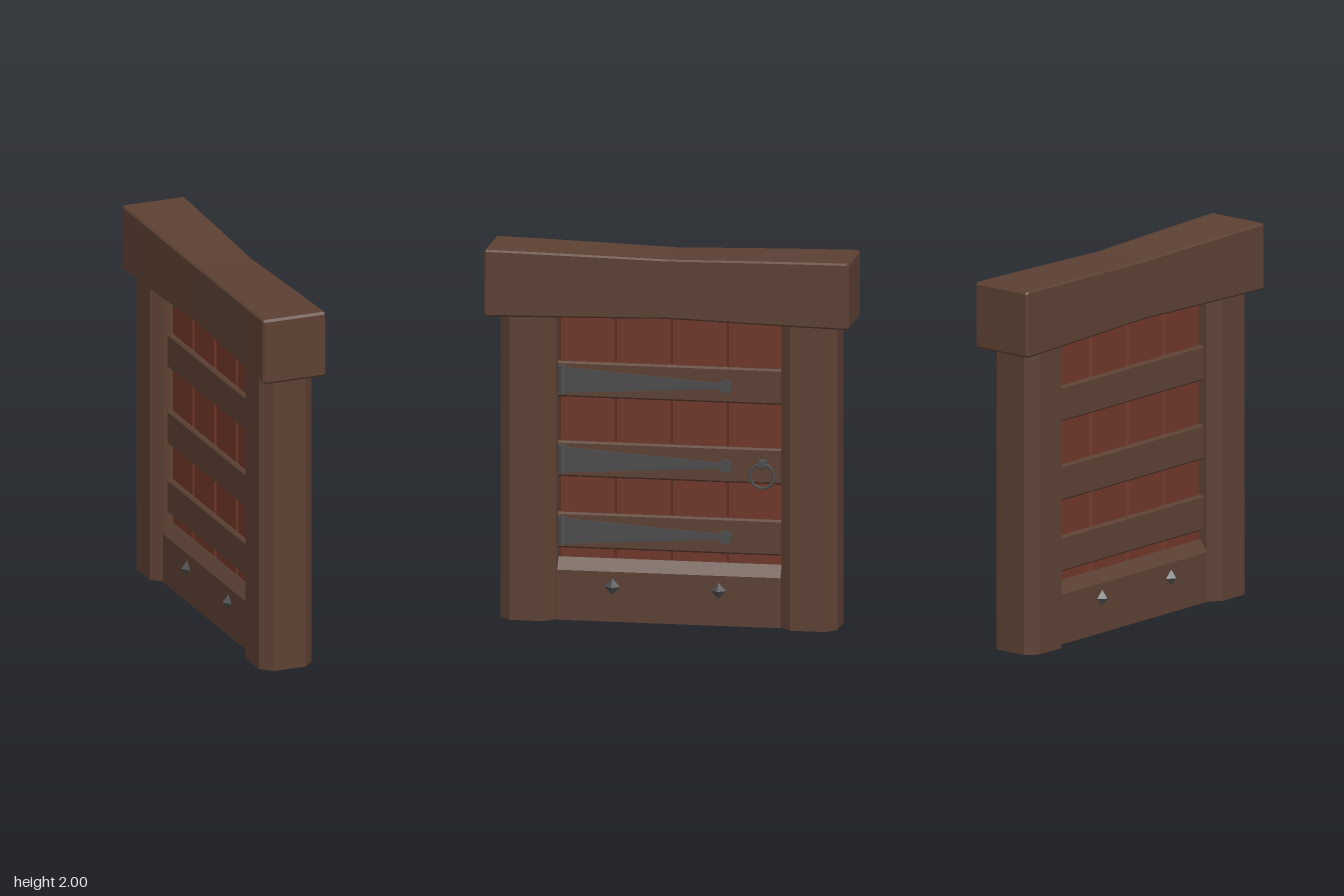
import * as THREE from 'three';

const paint = (color) => new THREE.MeshStandardMaterial({ color, flatShading: true });

// Rectangle with cut corners, w and h are half sizes
function cutRect(w, h, c, d = c) {
  return new THREE.Shape([
    [w, -h + d], [w, h - d], [w - c, h], [-w + c, h],
    [-w, h - d], [-w, -h + d], [-w + c, -h], [w - c, -h],
  ].map(([x, y]) => new THREE.Vector2(x, y)));
}

const extrude = (shape, depth) => new THREE.ExtrudeGeometry(shape, { depth, bevelEnabled: false, curveSegments: 6 });
// Upright column starting at y = 0
const column = (shape, height) => extrude(shape, height).rotateX(-Math.PI / 2);
// Horizontal rail centred on z = 0
const rail = (shape, length) => extrude(shape, length).translate(0, 0, -length / 2);

export function createModel() {
  const group = new THREE.Group();
  const wood = paint(0x5c4033);
  const red = paint(0x6f3629);
  const iron = paint(0x4c4c4c);

  const add = (name, geometry, material, x = 0, y = 0, z = 0, parent = group) => {
    const mesh = new THREE.Mesh(geometry, material);
    mesh.name = name;
    mesh.position.set(x, y, z);
    parent.add(mesh);
    return mesh;
  };

  // Chamfered posts
  for (const s of [-1, 1]) add('post', column(cutRect(0.15, 0.15, 0.058), 1.68), wood, 0, 0, s * 0.752);

  // Lintel, waisted towards the middle
  const bevel = 0.012;
  const lintel = new THREE.ExtrudeGeometry(cutRect(0.18, 0.18, 0.01), {
    depth: 1.956 - 2 * bevel, steps: 8,
    bevelSize: bevel, bevelThickness: bevel, bevelOffset: -bevel, bevelSegments: 1,
  }).translate(0, 0, -0.978 + bevel);
  const p = lintel.attributes.position;
  for (let i = 0; i < p.count; i++) {
    const t = Math.max(0, 1 - Math.abs(p.getZ(i)) / 0.978);
    const k = 1 - 0.11 * Math.pow(t, 1.2);
    p.setXY(i, p.getX(i) * k, p.getY(i) * k);
  }
  lintel.computeVertexNormals();
  add('lintel', lintel, wood, 0, 1.82, 0);

  // Door planks with bevelled seams
  for (let i = 0; i < 4; i++) {
    add('plank', column(cutRect(0.05, 0.1495, 0.015), 1.535), red, 0, 0.1, -0.45 + i * 0.3);
  }

  // Bottom board with sloped upper edges
  const sill = new THREE.Shape([
    [-0.1, 0], [0.1, 0], [0.1, 0.27], [0.055, 0.333], [-0.055, 0.333], [-0.1, 0.27],
  ].map(([x, y]) => new THREE.Vector2(x, y)));
  add('bottomBoard', rail(sill, 1.196), wood);

  // Pyramid studs on both faces of the bottom board
  for (const s of [-1, 1]) {
    for (const z of [0.302, -0.266]) {
      const stud = new THREE.ConeGeometry(0.043, 0.035, 4).rotateZ(-s * Math.PI / 2);
      add('stud', stud, iron, s * 0.1175, 0.19, z);
    }
  }

  // Crossbars, each with a strap hinge on the +x face
  for (const y of [1.295, 0.865, 0.48]) {
    add('crossbar', rail(cutRect(0.075, 0.096, 0.012, 0.01), 1.196), wood, 0, y, 0);

    const hinge = new THREE.Group();
    hinge.name = 'strapHinge';
    hinge.position.set(0.075, y, 0);
    group.add(hinge);
    const strap = new THREE.Shape([
      [-0.585, -0.07], [-0.55, -0.07], [0.29, -0.017], [0.29, 0.01], [-0.55, 0.065], [-0.585, 0.065],
    ].map(([u, v]) => new THREE.Vector2(u, v)));
    add('strap', extrude(strap, 0.012).rotateY(Math.PI / 2), iron, 0, 0, 0, hinge);
    add('strapEnd', new THREE.CylinderGeometry(0.037, 0.037, 0.016, 16).rotateZ(Math.PI / 2), iron, 0.008, -0.004, -0.3, hinge);
    add('barrel', new THREE.CylinderGeometry(0.025, 0.025, 0.152, 8), iron, 0.008, 0.003, 0.574, hinge);
  }

  // Ring handle on its mount
  const handle = new THREE.Group();
  handle.name = 'handle';
  group.add(handle);
  const mount = new THREE.CylinderGeometry(0.024, 0.036, 0.03, 4, 1)
    .rotateY(Math.PI / 4).rotateZ(-Math.PI / 2);
  add('handleMount', mount, iron, 0.088, 0.879, -0.5, handle);
  add('handleRing', new THREE.TorusGeometry(0.065, 0.008, 6, 20).rotateY(Math.PI / 2), iron, 0.097, 0.817, -0.5, handle);

  return group;
}
